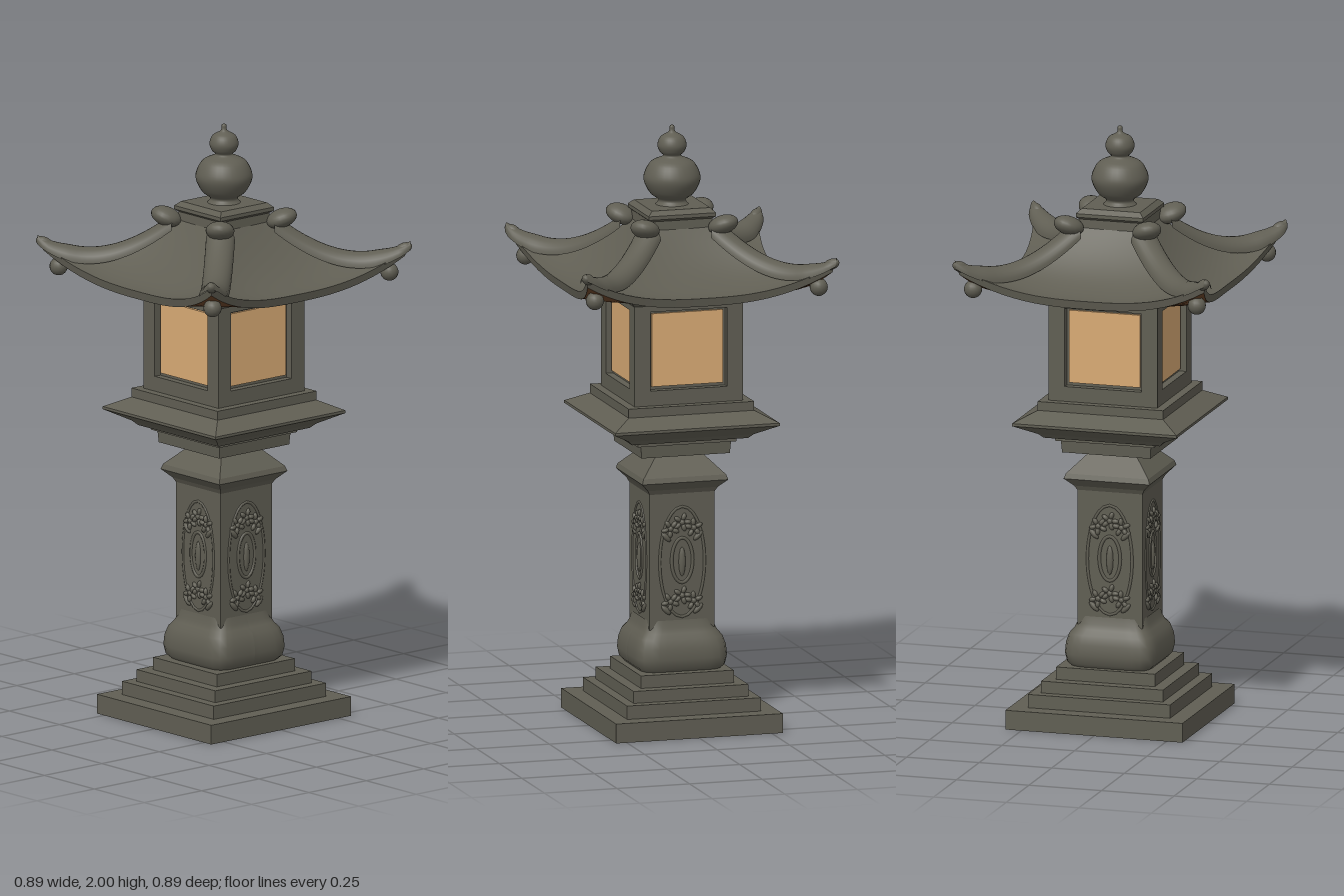
import * as THREE from 'three';

const stone = new THREE.MeshStandardMaterial({ color: 0x605e53 });
stone.name = 'weathered stone';
const paper = new THREE.MeshStandardMaterial({ color: 0xd8aa74 });
paper.name = 'window paper';
const wood = new THREE.MeshStandardMaterial({ color: 0x6a4529 });
wood.name = 'brown eave lining';

function add(parent, name, geometry, material = stone) {
  const mesh = new THREE.Mesh(geometry, material);
  mesh.name = name;
  parent.add(mesh);
  return mesh;
}

// Square stack: a four-sided lathe through [half width, y] points, closed at both ends
function squareStack(profile) {
  const pts = profile.map(([r, y]) => new THREE.Vector2(r * Math.SQRT2, y));
  pts.unshift(new THREE.Vector2(0, pts[0].y));
  pts.push(new THREE.Vector2(0, pts[pts.length - 1].y));
  const g = new THREE.LatheGeometry(pts, 4, Math.PI / 4).toNonIndexed();
  g.computeVertexNormals();
  return g;
}

// Smooth round-cornered square, made by pushing a lathe out towards its corners
function softSquare(profile, power) {
  const g = new THREE.LatheGeometry(profile.map(([r, y]) => new THREE.Vector2(r, y)), 48);
  const p = g.attributes.position;
  for (let i = 0; i < p.count; i++) {
    const x = p.getX(i), z = p.getZ(i), r = Math.hypot(x, z);
    if (r < 1e-6) continue;
    const k = Math.pow(Math.pow(Math.abs(x / r), power) + Math.pow(Math.abs(z / r), power), -1 / power);
    p.setXYZ(i, x * k, p.getY(i), z * k);
  }
  g.computeVertexNormals();
  return g;
}

// Curved sheet: f(u, v) with u from -1 to 1 and v from 0 (lower edge) to 1 (upper edge)
function sheet(f, nu, nv) {
  const g = new THREE.PlaneGeometry(2, 1, nu, nv);
  const p = g.attributes.position;
  for (let i = 0; i < p.count; i++) p.setXYZ(i, ...f(p.getX(i), p.getY(i) + 0.5));
  g.computeVertexNormals();
  return g;
}

// Roof surface: t = 0 at the top, 1 at the eave; corners sweep out and up
function roofPoint(u, t) {
  const corner = 0.1 + 0.328 * t, middle = 0.1 + 0.272 * t;
  const lift = 0.1 * t ** 3 * Math.abs(u) ** 2.6;
  return [u * corner, 1.49 + 0.19 * (1 - t) ** 2 + lift, middle + (corner - middle) * u * u];
}
const eaveBottom = (u) => {
  const [x, y, z] = roofPoint(u, 1);
  return [x * 0.985, y - 0.028, z * 0.985];
};

// Carved panel for one face of the shaft
function carvedPanel() {
  const panel = new THREE.Group();
  panel.name = 'carvedPanel';
  const blob = (x, y, sx, sy, turn = 0) => {
    const m = add(panel, 'carving', new THREE.SphereGeometry(1, 10, 6));
    m.position.set(x, y, 0.112);
    m.scale.set(sx, sy, 0.009);
    m.rotation.z = turn;
  };
  const oval = (name, rx, ry, y, tube) => {
    const pts = [];
    for (let i = 0; i < 20; i++) {
      const a = (i / 20) * Math.PI * 2;
      pts.push(new THREE.Vector3(Math.cos(a) * rx, y + Math.sin(a) * ry, 0.111));
    }
    add(panel, name, new THREE.TubeGeometry(new THREE.CatmullRomCurve3(pts, true), 40, tube, 6, true));
  };
  oval('panelBorder', 0.077, 0.185, 0.555, 0.005);
  oval('vase', 0.036, 0.075, 0.56, 0.006);
  blob(0, 0.555, 0.012, 0.05);
  // flower clusters above and below
  for (const cy of [0.675, 0.43]) {
    for (const cx of [-0.04, 0, 0.04]) {
      const y = cy + (cx === 0 ? 0.012 : -0.008);
      blob(cx, y, 0.01, 0.01);
      for (let i = 0; i < 5; i++) {
        const a = (i / 5) * Math.PI * 2 + cx * 10;
        blob(cx + Math.cos(a) * 0.019, y + Math.sin(a) * 0.019, 0.013, 0.008, a);
      }
    }
    for (const s of [-1, 1]) blob(s * 0.055, cy - 0.035, 0.022, 0.009, s * 0.8);
  }
  return panel;
}

// Recessed window and its frame for one side of the lamp box
function windowSide() {
  const side = new THREE.Group();
  side.name = 'windowSide';
  const rect = (target, w, y0, y1) => {
    target.moveTo(-w, y0);
    target.lineTo(w, y0);
    target.lineTo(w, y1);
    target.lineTo(-w, y1);
    target.closePath();
    return target;
  };
  const frame = rect(new THREE.Shape(), 0.187, 1.09, 1.47);
  frame.holes.push(rect(new THREE.Path(), 0.132, 1.15, 1.415));
  const g = new THREE.ExtrudeGeometry(frame, { depth: 0.03, bevelEnabled: false });
  add(side, 'windowFrame', g).position.z = 0.157;
  add(side, 'windowPane', new THREE.BoxGeometry(0.244, 0.245, 0.008), paper).position.set(0, 1.283, 0.166);
  return side;
}

// One quarter of the roof: tiles, eave edge and lining
function roofSide() {
  const side = new THREE.Group();
  side.name = 'roofSide';
  add(side, 'roofSlope', sheet((u, v) => roofPoint(u, 1 - v), 24, 14));
  add(side, 'eaveEdge', sheet((u, v) => (v > 0.5 ? roofPoint(u, 1) : eaveBottom(u)), 24, 1));
  add(side, 'eaveLining', sheet((u, v) => {
    const [x, y, z] = eaveBottom(u);
    const inner = 0.18;
    return [
      u * inner + (x - u * inner) * v,
      1.475 + (1.462 - 1.475) * v + (y - 1.462) * v ** 3,
      inner + (z - inner) * v,
    ];
  }, 24, 8), wood);
  return side;
}

// Corner ridge with an upturned knob at the top and a ball under the tip; runs along +z
function cornerRidge() {
  const ridge = new THREE.Group();
  ridge.name = 'cornerRidge';
  add(ridge, 'ridge', sheet((u, v) => {
    const t = 1.02 - 0.96 * v, end = Math.min(1, (1.02 - t) / 0.22);
    const [c, y] = roofPoint(1, t);
    const a = u * Math.PI / 2;
    const w = 0.012 + 0.036 * Math.sqrt(end);
    const h = 0.016 + 0.018 * end;
    return [Math.sin(a) * w, y - 0.012 + Math.cos(a) * (h + 0.012), c * Math.SQRT2];
  }, 12, 24));
  const tip = add(ridge, 'ridgeTip', new THREE.SphereGeometry(1, 14, 10));
  tip.position.set(0, 1.588, 0.592);
  tip.scale.set(0.018, 0.018, 0.03);
  tip.rotation.x = -0.4;
  const knob = add(ridge, 'ridgeKnob', new THREE.SphereGeometry(0.05, 20, 14));
  knob.position.set(0, 1.683, 0.19);
  knob.scale.set(0.95, 0.62, 1.05);
  knob.rotation.x = -0.35;
  add(ridge, 'cornerBall', new THREE.SphereGeometry(0.03, 16, 12)).position.set(0, 1.508, 0.545);
  add(ridge, 'ballStem', new THREE.CylinderGeometry(0.012, 0.012, 0.06, 8)).position.set(0, 1.54, 0.545);
  return ridge;
}

export function createModel() {
  const model = new THREE.Group();
  model.name = 'stoneLantern';

  // stepped base, a little narrower front to back
  const base = add(model, 'steppedBase', squareStack([
    [0.305, 0], [0.305, 0.065], [0.245, 0.065], [0.245, 0.11],
    [0.21, 0.11], [0.21, 0.15], [0.17, 0.15], [0.17, 0.192],
  ]));
  base.scale.z = 0.94;

  // cushion foot, shaft and its cap
  add(model, 'cushionFoot', softSquare([
    [0.135, 0.19], [0.15, 0.205], [0.156, 0.235], [0.153, 0.27],
    [0.143, 0.3], [0.128, 0.318], [0.12, 0.335], [0.114, 0.36],
  ], 7));
  add(model, 'shaft', squareStack([[0.112, 0.33], [0.112, 0.8]]));
  add(model, 'shaftCap', squareStack([
    [0.112, 0.785], [0.12, 0.8], [0.148, 0.828], [0.142, 0.845], [0.078, 0.91], [0.078, 0.925],
  ]));

  // platform under the lamp
  add(model, 'lampPlatform', squareStack([
    [0.152, 0.918], [0.155, 0.958], [0.17, 0.96], [0.17, 0.972], [0.2, 0.975], [0.215, 0.99],
    [0.283, 1.027], [0.283, 1.036], [0.216, 1.07], [0.216, 1.1],
  ]));

  // lamp box
  add(model, 'lampCore', squareStack([[0.162, 1.09], [0.162, 1.47]]));
  add(model, 'lampCornice', squareStack([[0.187, 1.435], [0.2, 1.45], [0.2, 1.485]]));

  // four-fold parts
  for (let i = 0; i < 4; i++) {
    const turn = (i * Math.PI) / 2;
    for (const part of [carvedPanel(), windowSide(), roofSide()]) {
      part.rotation.y = turn;
      model.add(part);
    }
    const ridge = cornerRidge();
    ridge.rotation.y = turn + Math.PI / 4;
    model.add(ridge);
  }

  // roof crown and finial
  add(model, 'roofCrown', squareStack([
    [0.108, 1.65], [0.106, 1.7], [0.116, 1.708], [0.116, 1.72], [0.1, 1.735],
  ]));
  add(model, 'finial', new THREE.LatheGeometry(new THREE.SplineCurve([
    [0.06, 1.73], [0.045, 1.75], [0.072, 1.772], [0.092, 1.81], [0.091, 1.84], [0.07, 1.876],
    [0.03, 1.896], [0.04, 1.91], [0.048, 1.933], [0.038, 1.96], [0.011, 1.977], [0.008, 1.995], [0, 2],
  ].map(([r, y]) => new THREE.Vector2(r, y))).getPoints(48), 32));

  return model;
}
